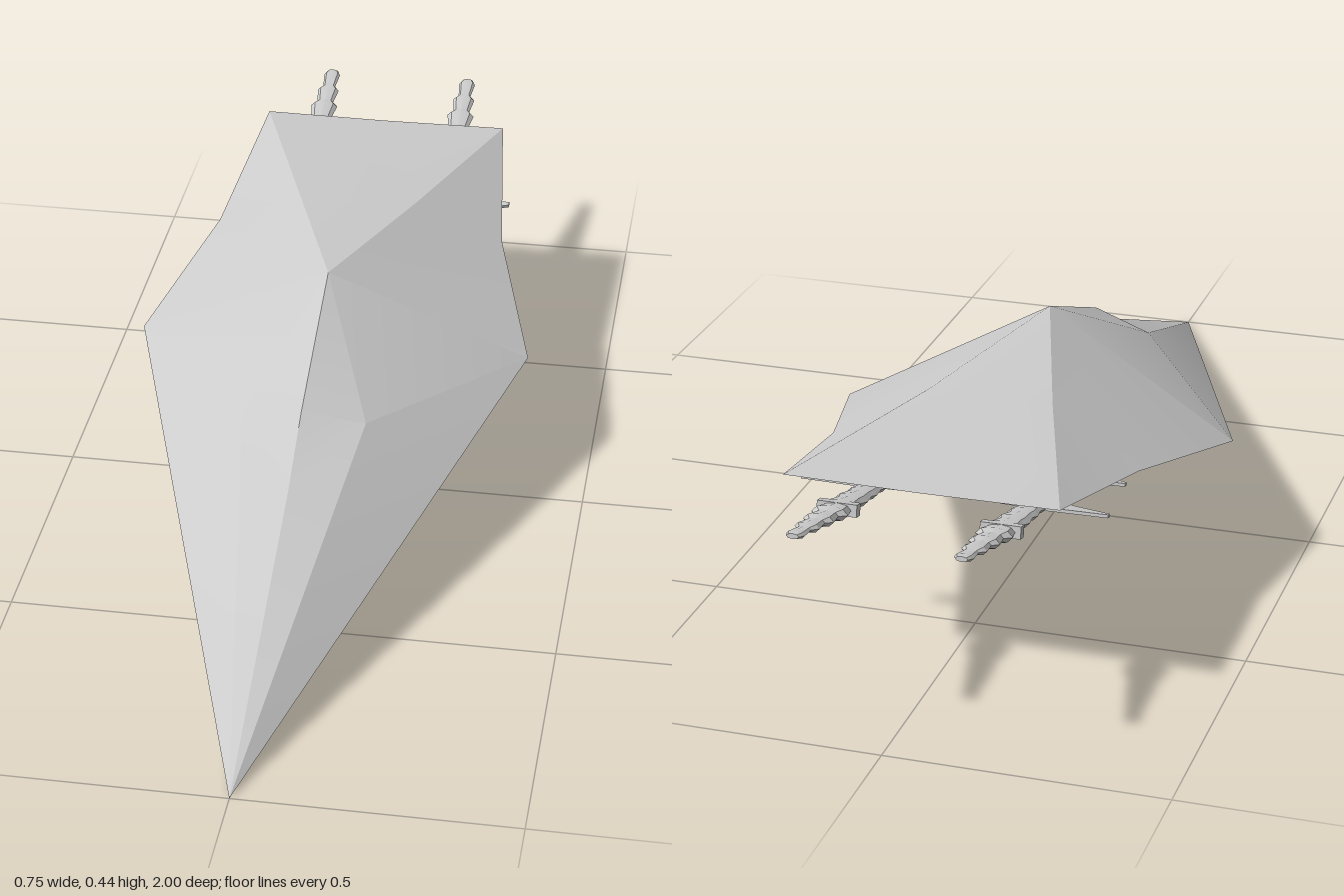
import * as THREE from 'three';
import { toCreasedNormals } from 'three/addons/utils/BufferGeometryUtils.js';

const material = new THREE.MeshStandardMaterial({ color: 0xcccccc, side: THREE.DoubleSide });

function part(name, geometry) {
  const mesh = new THREE.Mesh(geometry, material);
  mesh.name = name;
  return mesh;
}

// Faceted hull: key points of the left half, mirrored to the right
function hullGeometry() {
  const p = {
    nose: [0, 0.003, 1],
    canopyFront: [0, 0.24, 0.41],
    canopySide: [0.115, 0.29, 0.24],
    canopyTop: [0, 0.318, 0.27],
    peak: [0, 0.44, -0.04],
    wing: [0.375, 0.245, -0.115],
    flank: [0.285, 0.315, -0.44],
    deck: [0.115, 0.406, -0.4],
    deckMid: [0, 0.409, -0.4],
    corner: [0.245, 0.39, -0.785],
    tail: [0, 0.388, -0.785],
    keel: [0, 0.115, -0.16],
    hollow: [0.04, 0.24, -0.2],
  };
  const faces = [
    // Upper side
    'nose canopySide canopyFront', 'nose wing canopySide',
    'canopyFront canopySide canopyTop', 'canopyTop canopySide peak',
    'canopySide wing peak', 'peak wing flank', 'peak flank deck',
    'deck flank corner', 'peak deck deckMid', 'deckMid deck corner', 'deckMid corner tail',
    // Lower side, with a hollow either side of the keel ridge
    'nose keel wing', 'wing keel hollow', 'hollow keel tail',
    'wing hollow flank', 'flank hollow corner', 'hollow tail corner',
  ];
  const positions = [];
  for (const face of faces) {
    const [a, b, c] = face.split(' ').map((key) => p[key]);
    positions.push(...a, ...b, ...c);
    for (const v of [a, c, b]) positions.push(-v[0], v[1], v[2]);
  }
  const geometry = new THREE.BufferGeometry();
  geometry.setAttribute('position', new THREE.Float32BufferAttribute(positions, 3));
  return toCreasedNormals(geometry, 0.25);
}

// Ribbed, flattened boom running back along -z
function boomGeometry(length) {
  const ribs = 14;
  const radius = (t) => (t < 0.7 ? 0.012 + 0.031 * t : 0.034 - 0.075 * (t - 0.7));
  const points = [new THREE.Vector2(0, 0)];
  for (let i = 0; i < ribs; i++) {
    const t = i / ribs;
    points.push(new THREE.Vector2(radius(t) * 0.75, t * length));
    points.push(new THREE.Vector2(radius(t), (t + 0.75 / ribs) * length));
  }
  points.push(new THREE.Vector2(0.011, length), new THREE.Vector2(0, length));
  const geometry = new THREE.LatheGeometry(points, 8);
  geometry.scale(1, 1, 0.42);
  geometry.rotateX(-Math.PI / 2);
  return toCreasedNormals(geometry, 0.5);
}

// Thin swept fin lying flat, pointing to +x
function finGeometry(span, chord) {
  const shape = new THREE.Shape();
  shape.moveTo(0, -chord / 2);
  shape.lineTo(span, chord * 0.25);
  shape.lineTo(span, chord * 0.4);
  shape.lineTo(0, chord / 2);
  const geometry = new THREE.ExtrudeGeometry(shape, { depth: 0.006, bevelEnabled: false });
  geometry.translate(0, 0, -0.003);
  geometry.rotateX(-Math.PI / 2);
  return geometry;
}

function createBoom(side) {
  const boom = new THREE.Group();
  boom.name = side > 0 ? 'leftBoom' : 'rightBoom';
  const length = 0.746;
  boom.add(part('ribbedBody', boomGeometry(length)));

  // Swept fins: long outboard, short inboard
  for (const [z, outer, inner, chord] of [[-0.09, 0.1, 0.05, 0.07], [-0.33, 0.135, 0.06, 0.06]]) {
    const outerFin = part('outerFin', finGeometry(outer, chord));
    outerFin.position.z = z;
    if (side < 0) outerFin.rotation.z = Math.PI;
    const innerFin = part('innerFin', finGeometry(inner, chord * 0.8));
    innerFin.position.z = z;
    if (side > 0) innerFin.rotation.z = Math.PI;
    boom.add(outerFin, innerFin);
  }

  // Small upright spikes
  for (const z of [-0.13, -0.33]) {
    const spike = part('spike', new THREE.ConeGeometry(0.012, 0.035, 4));
    spike.position.set(0, 0.02, z);
    boom.add(spike);
  }

  // Collar just behind the hull
  const collar = part('collar', new THREE.BoxGeometry(0.072, 0.022, 0.018));
  collar.position.z = -0.53;
  boom.add(collar);

  boom.position.set(0.145 * side, 0.234, -0.27);
  boom.rotation.x = 0.207;
  return boom;
}

export function createModel() {
  const model = new THREE.Group();
  model.name = 'spacecraft';
  model.add(part('hull', hullGeometry()));
  for (const side of [1, -1]) model.add(createBoom(side));
  return model;
}
